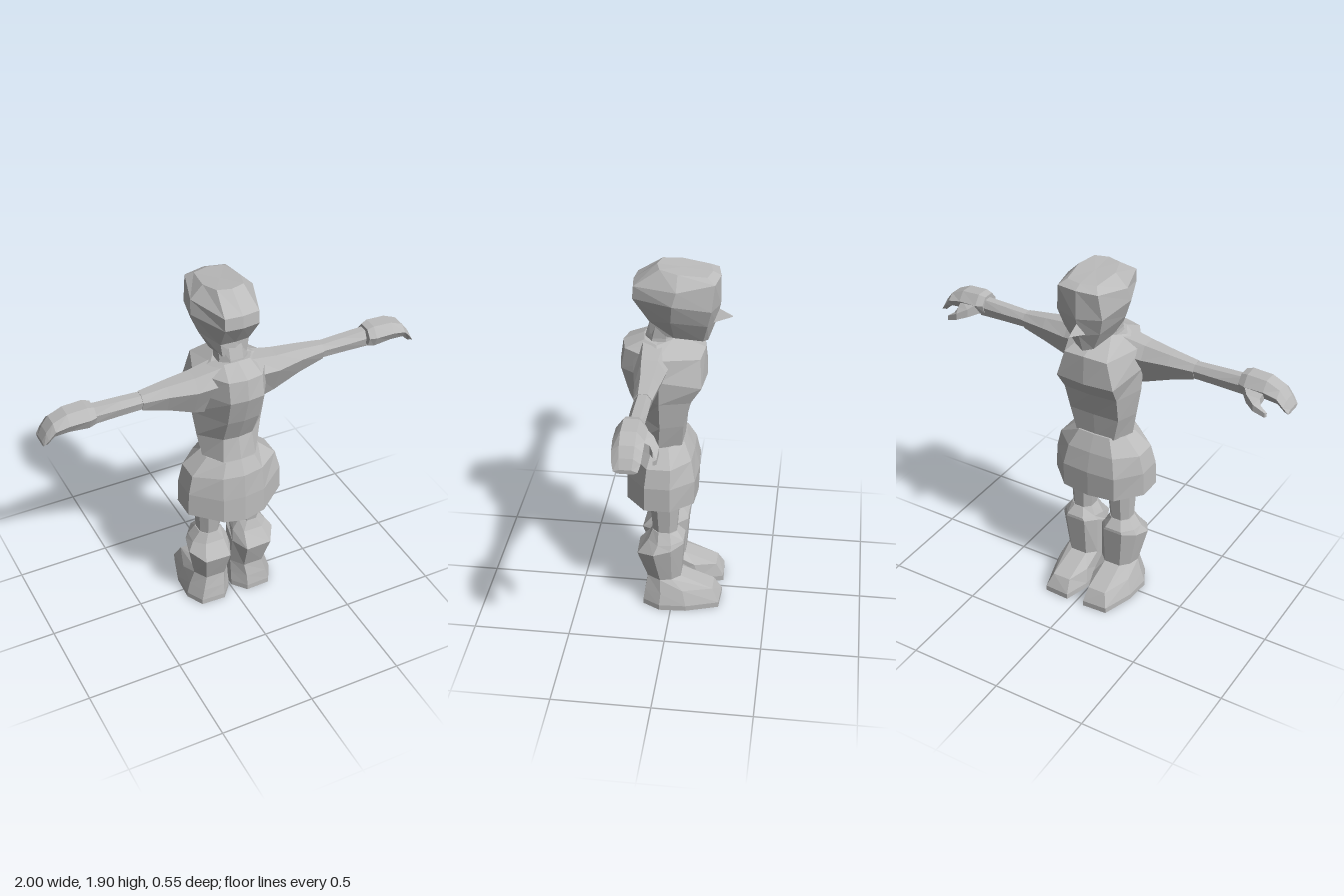
import * as THREE from 'three';

const grey = new THREE.MeshStandardMaterial({ color: 0xbbbbbb, flatShading: true, side: THREE.DoubleSide });
grey.name = 'plain grey';

// Skins a row of equal-length closed rings; faces are turned outward by signed volume.
function loft(name, rings, capStart = true, capEnd = true) {
  const tris = [];
  const n = rings[0].length;
  for (let r = 0; r < rings.length - 1; r++) {
    for (let i = 0; i < n; i++) {
      const j = (i + 1) % n;
      const a = rings[r][i], b = rings[r][j], c = rings[r + 1][j], d = rings[r + 1][i];
      tris.push([a, b, c], [a, c, d]);
    }
  }
  const cap = (ring, flip) => {
    const mid = [0, 1, 2].map(k => ring.reduce((s, p) => s + p[k], 0) / n);
    ring.forEach((p, i) => {
      const q = ring[(i + 1) % n];
      tris.push(flip ? [mid, q, p] : [mid, p, q]);
    });
  };
  if (capStart) cap(rings[0], true);
  if (capEnd) cap(rings[rings.length - 1], false);
  const mid = new THREE.Vector3(...rings[rings.length >> 1][0]);
  const [u, v, w] = [0, 1, 2].map(() => new THREE.Vector3());
  let volume = 0;
  for (const t of tris) {
    u.fromArray(t[0]).sub(mid); v.fromArray(t[1]).sub(mid); w.fromArray(t[2]).sub(mid);
    volume += u.dot(v.cross(w));
  }
  if (volume < 0) tris.forEach(t => t.reverse());
  const geometry = new THREE.BufferGeometry();
  geometry.setAttribute('position', new THREE.Float32BufferAttribute(tris.flat(2), 3));
  geometry.computeVertexNormals();
  const mesh = new THREE.Mesh(geometry, grey);
  mesh.name = name;
  return mesh;
}

// Completes a half ring whose first and last points lie on x = 0.
const mirrorRing = half => [...half, ...half.slice(1, -1).reverse().map(([x, y, z]) => [-x, y, z])];

// Horizontal eight-sided ring inside a box.
function octagon(y, x0, x1, z0, z1) {
  const a = (x1 - x0) * 0.27, b = (z1 - z0) * 0.27;
  return [[x0 + a, y, z0], [x1 - a, y, z0], [x1, y, z0 + b], [x1, y, z1 - b],
    [x1 - a, y, z1], [x0 + a, y, z1], [x0, y, z1 - b], [x0, y, z0 + b]];
}

// Six-sided limb section at x: flat top, middle ridge, bottom of half-width w.
function limbRing(x, top, mid, bottom, z0, z1, w) {
  const c = (z0 + z1) / 2, t = (z1 - z0) * 0.25;
  return [[x, top, c - t], [x, top, c + t], [x, mid, z1],
    [x, bottom, c + w], [x, bottom, c - w], [x, mid, z0]];
}

function createHead() {
  const head = new THREE.Group();
  head.name = 'head';
  head.add(loft('skull', [
    [[0, 1.51, -.16], [.05, 1.525, -.14], [.08, 1.55, 0], [.065, 1.56, .12], [0, 1.56, .13]],
    [[0, 1.61, -.195], [.10, 1.63, -.165], [.14, 1.66, .01], [.075, 1.63, .12], [0, 1.63, .125]],
    [[0, 1.71, -.22], [.125, 1.72, -.185], [.175, 1.76, 0], [.09, 1.755, .2], [0, 1.755, .21]],
    [[0, 1.86, -.22], [.11, 1.855, -.2], [.165, 1.83, -.02], [.09, 1.82, .195], [0, 1.82, .205]],
    [[0, 1.88, -.18], [.08, 1.88, -.16], [.1, 1.895, -.02], [.07, 1.905, .07], [0, 1.905, .09]],
  ].map(mirrorRing)));
  head.add(loft('nose', [
    [[0, 1.69, -.2], [.035, 1.62, -.18], [-.035, 1.62, -.18]],
    [[0, 1.648, -.278], [.003, 1.643, -.278], [-.003, 1.643, -.278]],
  ]));
  head.add(loft('neck', [octagon(1.48, -.085, .085, -.01, .155), octagon(1.54, -.075, .075, 0, .145),
    octagon(1.62, -.075, .075, 0, .12)]));
  return head;
}

function createTorso() {
  return loft('torso', [
    [[0, 1.535, 0], [.06, 1.53, .01], [.11, 1.52, .08], [.07, 1.53, .145], [0, 1.535, .155]],
    [[0, 1.47, -.15], [.12, 1.46, -.135], [.2, 1.48, .07], [.09, 1.485, .24], [0, 1.49, .26]],
    [[0, 1.32, -.16], [.16, 1.32, -.145], [.215, 1.37, .06], [.09, 1.375, .26], [0, 1.38, .275]],
    [[0, 1.23, -.1], [.15, 1.23, -.09], [.205, 1.24, .06], [.085, 1.23, .22], [0, 1.23, .23]],
    [[0, 1.09, -.06], [.14, 1.09, -.055], [.18, 1.09, .06], [.08, 1.09, .16], [0, 1.09, .17]],
    [[0, .96, -.05], [.11, .96, -.045], [.155, .96, .07], [.09, .965, .18], [0, .97, .2]],
  ].map(mirrorRing));
}

// Skirt is open underneath.
function createSkirt() {
  return loft('skirt', [
    [[0, .97, -.06], [.09, .97, -.055], [.145, .96, .02], [.145, .96, .1], [.08, .965, .19], [0, .97, .2]],
    [[0, .88, -.1], [.13, .88, -.095], [.235, .88, 0], [.235, .88, .12], [.11, .89, .22], [0, .89, .24]],
    [[0, .77, -.125], [.15, .77, -.115], [.26, .78, 0], [.26, .78, .13], [.115, .76, .235], [0, .76, .25]],
    [[0, .625, -.12], [.15, .635, -.11], [.265, .65, 0], [.265, .65, .13], [.115, .625, .24], [0, .61, .255]],
  ].map(mirrorRing), true, false);
}

function createArm(side, label) {
  const arm = new THREE.Group();
  arm.name = label + 'Arm';
  const add = (name, rings) => arm.add(loft(name, rings.map(r => r.map(([x, y, z]) => [side * x, y, z]))));
  add('sleeve', [
    limbRing(.08, 1.52, 1.45, 1.25, 0, .2, .03),
    limbRing(.22, 1.495, 1.43, 1.28, .02, .18, .02),
    limbRing(.36, 1.48, 1.435, 1.34, .035, .155, .025),
    limbRing(.49, 1.465, 1.435, 1.385, .05, .14, .03),
  ]);
  add('forearm', [
    limbRing(.47, 1.462, 1.435, 1.392, .055, .135, .03),
    limbRing(.6, 1.468, 1.435, 1.39, .053, .137, .03),
    limbRing(.76, 1.475, 1.435, 1.385, .055, .135, .03),
  ]);
  // Fist-like hand curling downward
  add('hand', [
    limbRing(.735, 1.49, 1.45, 1.405, .045, .165, .045),
    limbRing(.77, 1.5, 1.45, 1.395, .03, .175, .05),
    limbRing(.87, 1.495, 1.45, 1.405, .03, .175, .05),
    limbRing(.94, 1.465, 1.435, 1.4, .03, .17, .05),
    limbRing(.975, 1.42, 1.395, 1.365, .035, .165, .045),
    limbRing(.998, 1.375, 1.365, 1.355, .045, .155, .035),
  ]);
  add('thumb', [
    [[.76, 1.46, .05], [.76, 1.4, .05], [.87, 1.4, .05], [.87, 1.45, .05]],
    [[.8, 1.435, 0], [.8, 1.39, 0], [.865, 1.38, .01], [.865, 1.425, .01]],
    [[.85, 1.41, -.03], [.85, 1.375, -.03], [.88, 1.37, -.005], [.88, 1.4, -.005]],
    [[.91, 1.38, -.025], [.91, 1.355, -.025], [.915, 1.355, -.01], [.915, 1.375, -.01]],
  ]);
  return arm;
}

function createLeg(side, label) {
  const leg = new THREE.Group();
  leg.name = label + 'Leg';
  const add = (name, rings) => leg.add(loft(name, rings.map(r => r.map(([x, y, z]) => [side * x, y, z]))));
  add('thigh', [octagon(.9, .03, .18, -.04, .13), octagon(.64, .04, .18, -.035, .12), octagon(.43, .06, .17, -.02, .1)]);
  const sole = [[.05, 0, -.257], [.185, 0, -.25], [.24, 0, -.08], [.248, 0, .06],
    [.2, 0, .15], [.07, 0, .155], [.008, 0, .08], [.01, 0, -.12]];
  add('boot', [
    sole,
    sole.map(([x, y, z]) => [x, .03, z]),
    [[.06, .1, -.215], [.16, .1, -.215], [.215, .11, -.06], [.23, .09, .055],
      [.185, .09, .142], [.07, .09, .145], [.01, .09, .07], [.02, .11, -.1]],
    [[.06, .165, -.045], [.15, .165, -.045], [.19, .165, 0], [.205, .165, .06],
      [.165, .165, .13], [.06, .165, .13], [.01, .165, .06], [.015, .165, 0]],
    [[.06, .39, -.062], [.17, .39, -.062], [.225, .37, 0], [.245, .35, .09],
      [.19, .325, .18], [.05, .325, .185], [.008, .33, .09], [.015, .38, 0]],
    [[.07, .405, -.06], [.165, .405, -.06], [.21, .4, 0], [.215, .395, .07],
      [.165, .4, .125], [.06, .4, .125], [.02, .39, .07], [.03, .4, 0]],
    octagon(.45, .055, .175, -.025, .105),
  ]);
  return leg;
}

export function createModel() {
  const model = new THREE.Group();
  model.name = 'figure';
  model.add(createHead(), createTorso(), createSkirt());
  for (const [side, label] of [[1, 'left'], [-1, 'right']]) {
    model.add(createArm(side, label), createLeg(side, label));
  }
  return model;
}
